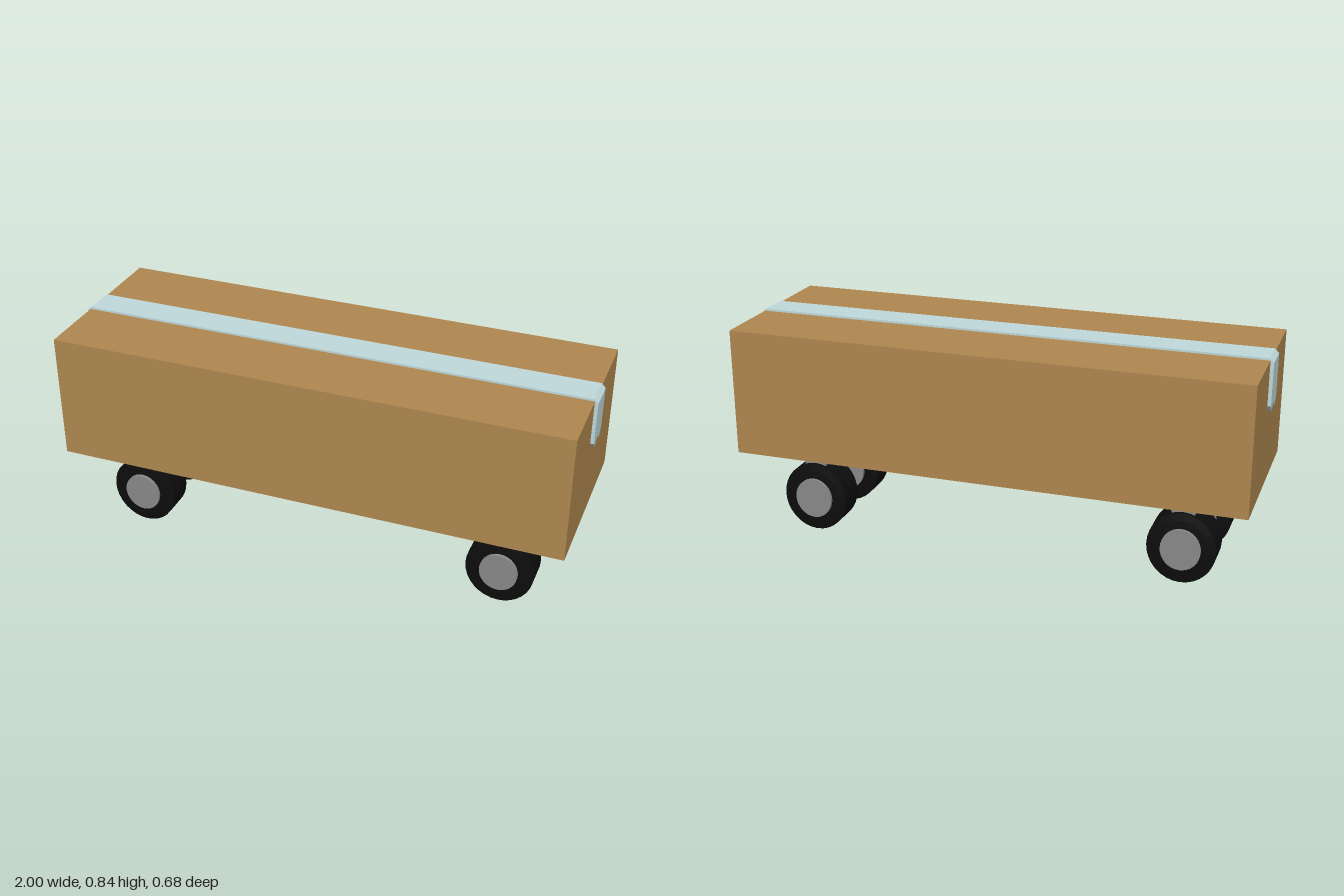
import * as THREE from 'three';

const paint = (color, extra = {}) => new THREE.MeshStandardMaterial({ color, ...extra });
const cardboard = paint(0xb08850);
const black = paint(0x0d0d0d);
const liningMat = paint(0x0d0d0d, { side: THREE.DoubleSide });
const grey = paint(0x8a8a8a);
const tapeMat = paint(0xc0dadc);

function part(name, geometry, material, parent) {
  const mesh = new THREE.Mesh(geometry, material);
  mesh.name = name;
  parent.add(mesh);
  return mesh;
}

// Box without its underside
function openBox(w, h, d, yBottom) {
  const g = new THREE.BoxGeometry(w, h, d);
  const index = Array.from(g.index.array);
  index.splice(18, 6);
  g.setIndex(index);
  g.clearGroups();
  return g.translate(0, yBottom + h / 2, 0);
}

function polygon(points) {
  return new THREE.Shape(points.map(([x, y]) => new THREE.Vector2(x, y)));
}

// Tyre, hub and tapering post; shared by all four corners
function wheel() {
  const group = new THREE.Group();
  const rolling = new THREE.Group();
  rolling.name = 'rollingPart';
  rolling.position.y = 0.14;
  rolling.scale.x = 0.94;
  group.add(rolling);

  const profile = [[0, -0.062], [0.078, -0.063], [0.11, -0.06], [0.138, -0.055],
    [0.138, 0.055], [0.11, 0.06], [0.078, 0.063], [0, 0.062]];
  // Each band is lathed separately so the edges stay crisp
  for (let i = 0; i < profile.length - 1; i++) {
    const band = [profile[i], profile[i + 1]].map(p => new THREE.Vector2(...p));
    part('tyre', new THREE.LatheGeometry(band, 32).rotateX(Math.PI / 2), black, rolling);
  }
  part('hub', new THREE.CylinderGeometry(0.077, 0.08, 0.15, 32).rotateX(Math.PI / 2), grey, rolling);

  const post = new THREE.BoxGeometry(0.08, 0.42, 0.085);
  const pos = post.attributes.position;
  for (let i = 0; i < pos.count; i++) {
    if (pos.getY(i) > 0) pos.setX(i, pos.getX(i) * 1.24);
  }
  post.computeVertexNormals();
  part('post', post.translate(0, 0.35, 0), grey, group);
  return group;
}

export function createModel() {
  const model = new THREE.Group();
  model.name = 'wheeledBox';

  // Hollow body with a dark recess underneath
  part('boxBody', openBox(1.974, 0.49, 0.68, 0.347), cardboard, model);
  part('undersideRecess', openBox(1.968, 0.213, 0.674, 0.347), liningMat, model);

  // Tape over the top, with bevelled corners
  const tape = new THREE.Group();
  tape.name = 'tape';
  tape.position.z = 0.004;
  model.add(tape);
  const strip = polygon([[-1, 0.829], [-0.985, 0.829], [-0.985, 0.836], [0.985, 0.836],
    [0.985, 0.829], [1, 0.829], [0.984, 0.845], [-0.984, 0.845]]);
  part('tapeTop', new THREE.ExtrudeGeometry(strip, { depth: 0.122, bevelEnabled: false })
    .translate(0, 0, -0.061), tapeMat, tape);

  // Zigzag-cut tape ends
  const flap = polygon([[-0.061, 0.829], [-0.061, 0.667], [-0.032, 0.64], [0, 0.667],
    [0.032, 0.64], [0.061, 0.667], [0.061, 0.829]]);
  for (const x of [-1, 0.985]) {
    part('tapeEnd', new THREE.ExtrudeGeometry(flap, { depth: 0.015, bevelEnabled: false })
      .rotateY(Math.PI / 2).translate(x, 0, 0), tapeMat, tape);
  }

  // Four wheels
  for (const x of [-0.733, 0.731]) {
    for (const z of [-0.156, 0.151]) {
      const w = wheel();
      w.name = (z > 0 ? 'front' : 'back') + (x > 0 ? 'Left' : 'Right') + 'Wheel';
      w.position.set(x, 0.002, z);
      model.add(w);
    }
  }
  return model;
}
